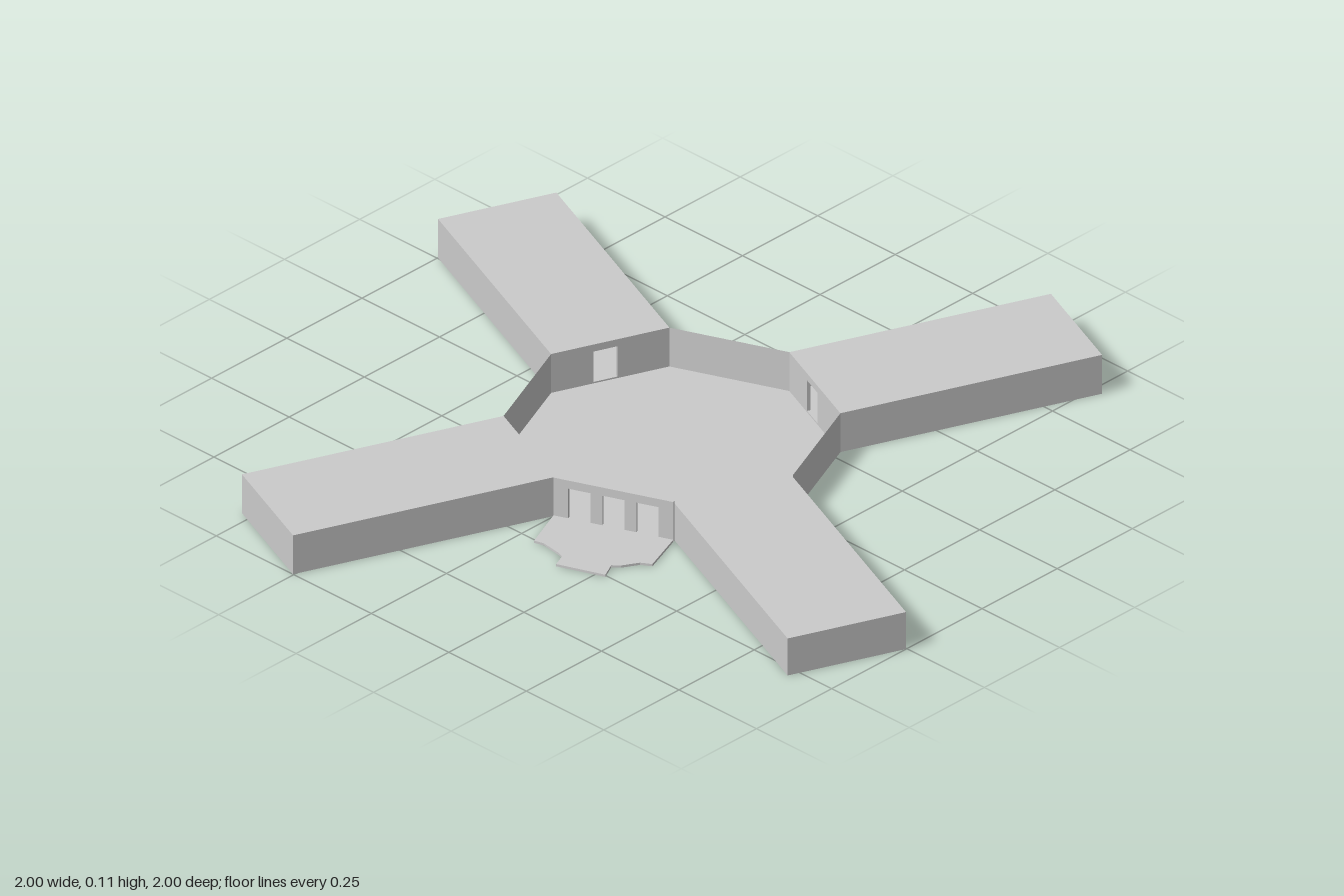
import * as THREE from 'three';

const R = 0.39;                                   // octagon corner radius
const SIDE = 2 * R * Math.sin(Math.PI / 8);
const APOTHEM = R * Math.cos(Math.PI / 8);
const WING = 0.66;                                // wing length
const WALL = 0.008;                               // thickness of pierced walls

const mat = new THREE.MeshStandardMaterial({ color: 0xcccccc, flatShading: true, side: THREE.DoubleSide });

function add(parent, name, geometry) {
  const mesh = new THREE.Mesh(geometry, mat);
  mesh.name = name;
  parent.add(mesh);
  return mesh;
}

// Group on one octagon side: local x runs along the side, local z points outward
function sideGroup(parent, name, degrees) {
  const g = new THREE.Group();
  const a = THREE.MathUtils.degToRad(degrees);
  g.name = name;
  g.rotation.y = a;
  g.position.set(Math.sin(a) * APOTHEM, 0, Math.cos(a) * APOTHEM);
  parent.add(g);
  return g;
}

// Upright wall with rectangular doorways; each is [centre, width, height]
function piercedWall(height, doors) {
  const h = SIDE / 2;
  const shape = new THREE.Shape([[-h, 0], [h, 0], [h, height], [-h, height]].map(p => new THREE.Vector2(...p)));
  for (const [x, w, top] of doors) {
    const pts = [[x - w / 2, 0.004], [x - w / 2, top], [x + w / 2, top], [x + w / 2, 0.004]];
    shape.holes.push(new THREE.Path(pts.map(p => new THREE.Vector2(...p))));
  }
  return new THREE.ExtrudeGeometry(shape, { depth: WALL, bevelEnabled: false });
}

// Hollow wing with a doorway onto the courtyard
function addWing(parent, name, degrees, height, doorX) {
  const g = sideGroup(parent, name, degrees);
  const len = WING - WALL, mid = WALL + len / 2;
  add(g, 'doorWall', piercedWall(height, [[doorX, 0.06, 0.086]]));
  add(g, 'wingFloor', new THREE.PlaneGeometry(SIDE, len).rotateX(Math.PI / 2)).position.set(0, 0, mid);
  add(g, 'wingRoof', new THREE.PlaneGeometry(SIDE, len).rotateX(-Math.PI / 2)).position.set(0, height, mid);
  add(g, 'endWall', new THREE.PlaneGeometry(SIDE, height)).position.set(0, height / 2, WING);
  for (const s of [-1, 1]) {
    add(g, 'sideWall', new THREE.PlaneGeometry(len, height).rotateY(s * Math.PI / 2))
      .position.set(s * SIDE / 2, height / 2, mid);
  }
}

export function createModel() {
  const model = new THREE.Group();
  model.name = 'courtyardBuilding';

  // Open courtyard floor, corners on the axes
  add(model, 'courtyardFloor', new THREE.CircleGeometry(R, 8).rotateX(-Math.PI / 2));

  // Four wings in a pinwheel
  addWing(model, 'leftWing', 67.5, 0.105, 0.015);
  addWing(model, 'backWing', 157.5, 0.105, 0.012);
  addWing(model, 'rightWing', 247.5, 0.105, 0.06);
  addWing(model, 'frontWing', 337.5, 0.1, 0.012);

  // Plain courtyard walls between the wings
  for (const degrees of [22.5, 112.5, 202.5]) {
    const g = sideGroup(model, 'plainSide', degrees);
    add(g, 'courtyardWall', new THREE.PlaneGeometry(SIDE, 0.105)).position.y = 0.0525;
  }

  // Entrance wall with three openings
  const gate = sideGroup(model, 'entrance', 292.5);
  add(gate, 'entranceWall', piercedWall(0.108, [-0.085, 0, 0.085].map(x => [x, 0.055, 0.086])));

  // Low ragged paving outside the entrance
  const outline = [[-0.39, 0], [-0.51, 0.05], [-0.503, 0.075], [-0.51, 0.13], [-0.515, 0.145], [-0.55, 0.16],
    [-0.505, 0.275], [-0.465, 0.255], [-0.45, 0.272], [-0.41, 0.295], [-0.395, 0.32], [-0.276, 0.276]];
  const paving = new THREE.Shape(outline.map(([x, z]) => new THREE.Vector2(x, -z)));
  add(model, 'entrancePaving',
    new THREE.ExtrudeGeometry(paving, { depth: 0.006, bevelEnabled: false }).rotateX(-Math.PI / 2));

  return model;
}
